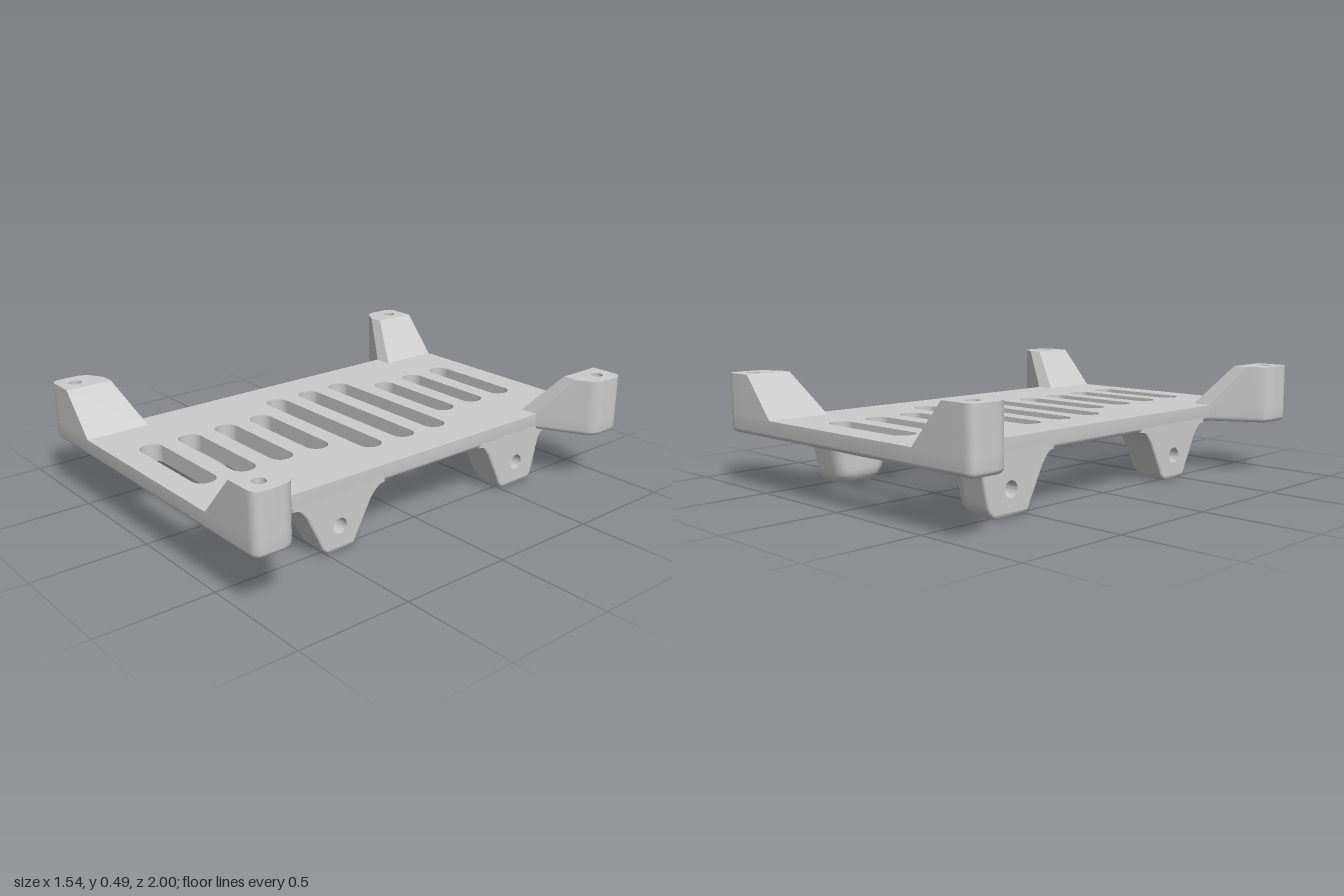
import * as THREE from 'three';
import { toCreasedNormals } from 'three/addons/utils/BufferGeometryUtils.js';

const BOTTOM = 0.235, DECK = 0.31, TOP = 0.49, BEVEL = 0.02;
const grey = new THREE.MeshStandardMaterial({ color: 0xcccccc });
const greyBoth = new THREE.MeshStandardMaterial({ color: 0xcccccc, side: THREE.DoubleSide });
const V2 = (x, y) => new THREE.Vector2(x, y);

function add(parent, name, geometry, material = grey) {
  const mesh = new THREE.Mesh(geometry, material);
  mesh.name = name;
  parent.add(mesh);
  return mesh;
}

// Polygon of [x, z, cut] corners; corners with a cut are rounded
function roundPoly(corners, n = 6) {
  const out = [], count = corners.length;
  corners.forEach(([x, z, cut], i) => {
    const p = V2(x, z);
    if (!cut) return out.push(p);
    const toward = (q) => p.clone().add(V2(q[0], q[1]).sub(p).setLength(cut));
    const from = toward(corners[(i + count - 1) % count]);
    const to = toward(corners[(i + 1) % count]);
    out.push(...new THREE.QuadraticBezierCurve(from, p, to).getPoints(n));
  });
  return out;
}

// Stadium or circle loop, ordered so that a wall on it faces inwards
function slotLoop(cx, cz, half, r, n = 12) {
  const pts = [];
  for (const side of [1, -1]) {
    for (let i = 0; i <= n; i++) {
      const a = (i / n - 0.5) * Math.PI + (side < 0 ? Math.PI : 0);
      pts.push(V2(cx + side * (half - r) + r * Math.cos(a), cz + r * Math.sin(a)));
    }
  }
  return pts;
}

// Skin between stacked rings { y, pts }; rows from openFrom on are not closed
function strip(rings, openFrom = Infinity) {
  const n = rings[0].pts.length, pos = [], index = [];
  rings.forEach(({ y, pts }) => pts.forEach((p) => pos.push(p.x, y, p.y)));
  for (let k = 0; k < rings.length - 1; k++) {
    for (let i = 0; i < (k < openFrom ? n : n - 1); i++) {
      const a = k * n + i, b = k * n + (i + 1) % n;
      index.push(a, b, b + n, a, b + n, a + n);
    }
  }
  const g = new THREE.BufferGeometry();
  g.setAttribute('position', new THREE.Float32BufferAttribute(pos, 3));
  g.setIndex(index);
  g.computeVertexNormals();
  return g;
}

// Flat horizontal face with holes, facing up or down
function cap(pts, holes, y, up) {
  const s = up ? -1 : 1;
  const flat = (loop) => loop.map((p) => V2(p.x, s * p.y));
  const shape = new THREE.Shape(flat(pts));
  shape.holes = holes.map((h) => new THREE.Path(flat(h)));
  return new THREE.ShapeGeometry(shape).rotateX(s * Math.PI / 2).translate(0, y, 0);
}

// Moves a closed outline inwards by d with mitred corners
function inset(pts, d) {
  const n = pts.length;
  return pts.map((p, i) => {
    const e1 = p.clone().sub(pts[(i + n - 1) % n]).normalize();
    const e2 = pts[(i + 1) % n].clone().sub(p).normalize();
    const m = V2(e1.y + e2.y, -e1.x - e2.x);
    return p.clone().addScaledVector(m, d / (1 + e1.dot(e2)));
  });
}

// Upright block on the deck whose top follows topAt(x, z)
function prism(corners, sx, sz, topAt, hole) {
  const flat = (pts) => pts.map((p) => V2(sx * p.x, -sz * p.y));
  const shape = new THREE.Shape(flat(roundPoly(corners)));
  if (hole) shape.holes.push(new THREE.Path(flat(hole)));
  const g = new THREE.ExtrudeGeometry(shape, { depth: 1, bevelEnabled: false }).rotateX(-Math.PI / 2);
  const p = g.attributes.position;
  for (let i = 0; i < p.count; i++) {
    p.setY(i, p.getY(i) < 0.5 ? DECK : topAt(Math.abs(p.getX(i)), Math.abs(p.getZ(i))));
  }
  return toCreasedNormals(g, 0.5);
}

// Slotted deck with four ears and a rounded lower edge
function makeDeck() {
  const deck = new THREE.Group();
  deck.name = 'deck';
  const ear = [[0.54, -0.71], [0.77, -0.84, 0.045], [0.77, -1, 0.045]];
  const flip = (list, sx, sz) => list.map(([x, z, c]) => [sx * x, sz * z, c]);
  const back = [...ear, ...flip(ear, -1, 1).reverse()];
  const outline = roundPoly([...back, ...flip(back, -1, -1)]);

  const holes = [];
  for (let i = 0; i < 10; i++) {
    holes.push(slotLoop(0, -0.825 + i * 0.185, i > 2 && i < 6 ? 0.375 : 0.247, 0.052));
  }
  for (const sx of [1, -1]) for (const sz of [1, -1]) {
    holes.push(slotLoop(sx * 0.69, sz * 0.923, 0.028, 0.028));
  }

  const rings = [];
  for (let i = 0; i <= 4; i++) {
    const a = i / 4 * Math.PI / 2;
    rings.push({ y: BOTTOM + BEVEL * (1 - Math.cos(a)), pts: inset(outline, BEVEL * (1 - Math.sin(a))) });
  }
  rings.push({ y: DECK, pts: outline });
  add(deck, 'deckRim', toCreasedNormals(strip(rings), 0.5));
  add(deck, 'deckTop', cap(outline, holes, DECK, true));
  add(deck, 'deckUnderside', cap(rings[0].pts, holes, BOTTOM, false));
  holes.forEach((pts) => add(deck, 'slotWall', strip([{ y: BOTTOM, pts }, { y: DECK, pts }])));
  return deck;
}

// Corner post: drilled block, ramp towards the middle and ramp along the side
function makePost(sx, sz) {
  const post = new THREE.Group();
  post.name = 'cornerPost';
  const rise = TOP - DECK;
  const block = [[0.615, 1], [0.77, 1, 0.045], [0.77, 0.84, 0.045], [0.682, 0.79], [0.615, 0.79]];
  const ramp = [[0.455, 1], [0.615, 1], [0.615, 0.79], [0.455, 0.71]];
  const sideRamp = [[0.455, 0.71], [0.615, 0.79], [0.682, 0.79], [0.54, 0.71]];
  add(post, 'postBlock', prism(block, sx, sz, () => TOP, slotLoop(0.69, 0.923, 0.028, 0.028)));
  add(post, 'postRamp', prism(ramp, sx, sz, (x) => DECK + rise * (x - 0.455) / 0.16));
  add(post, 'postSideRamp', prism(sideRamp, sx, sz, (x, z) => DECK + rise * (z - 0.71) / 0.08));
  return post;
}

// Foot: rounded horizontal sections that flare into the deck, blind bore outside
const clamp01 = (u) => Math.min(1, Math.max(0, u));
const arc = (u) => Math.sqrt(1 - (1 - clamp01(u)) ** 2);
const flare = (u) => 1 - Math.sqrt(1 - clamp01(u) ** 2);
const LEVELS = [0, 0.002, 0.008, 0.02, 0.035, 0.05, 0.07, 0.115, 0.16, 0.19, 0.21, 0.222, 0.23, 0.234, 0.235, 0.262];

function makeFoot(s, { z, flat, front, rear }) {
  const foot = new THREE.Group();
  foot.name = 'foot';
  const width = (y, [a, b, c]) => flat + (a - flat) * arc(y / 0.06)
    + (b - a) * clamp01((y - 0.05) / 0.16) + (c - b) * flare((y - 0.18) / 0.055);
  const rings = LEVELS.map((y) => {
    const z0 = z - width(y, rear), z1 = z + width(y, front);
    const spread = 0.07 * flare((y - 0.16) / 0.075);
    const xIn = 0.43 - 0.07 * arc(y / 0.07) - spread;
    const xOut = 0.52 + 0.02 * arc(y / 0.02);
    const r = Math.min(0.065 + spread, (z1 - z0) * 0.45);
    const pts = roundPoly([[xOut, z0, 0.015], [xIn, z0, r], [xIn, z1, r], [xOut, z1, 0.015]], 8);
    if (s < 0) pts.forEach((p) => { p.x *= -1; });
    return { y, pts: s < 0 ? pts.reverse() : pts };
  });
  const firstFlat = 3;
  add(foot, 'footBody', strip(rings, firstFlat));
  add(foot, 'footSole', cap(rings[0].pts, [], 0, false));

  // Outer face with the bore opening
  const upright = rings.slice(firstFlat);
  const edge = [
    ...upright.map(({ y, pts }) => V2(-s * pts[0].y, y)),
    ...upright.map(({ y, pts }) => V2(-s * pts[pts.length - 1].y, y)).reverse(),
  ];
  const shape = new THREE.Shape(edge);
  shape.holes.push(new THREE.Path().absarc(-s * z, 0.11, 0.034, 0, Math.PI * 2, true));
  add(foot, 'footOuterFace', new THREE.ShapeGeometry(shape, 16).rotateY(s * Math.PI / 2).translate(s * 0.54, 0, 0));
  const bore = new THREE.LatheGeometry([V2(0, -0.12), V2(0.034, -0.12), V2(0.034, 0)], 32);
  bore.rotateZ(-s * Math.PI / 2).translate(s * 0.54, 0.11, z);
  add(foot, 'footBore', toCreasedNormals(bore, 0.5), greyBoth);
  return foot;
}

export function createModel() {
  const model = new THREE.Group();
  model.name = 'mountingTray';
  model.add(makeDeck());
  // Half-widths per side: above the sole, below the flare, at the deck
  const feet = [
    { z: 0.438, flat: 0.035, front: [0.095, 0.175, 0.235], rear: [0.095, 0.18, 0.24] },
    { z: -0.588, flat: 0.06, front: [0.113, 0.195, 0.245], rear: [0.117, 0.155, 0.22] },
  ];
  for (const sx of [1, -1]) {
    for (const sz of [1, -1]) model.add(makePost(sx, sz));
    for (const spec of feet) model.add(makeFoot(sx, spec));
  }
  return model;
}
